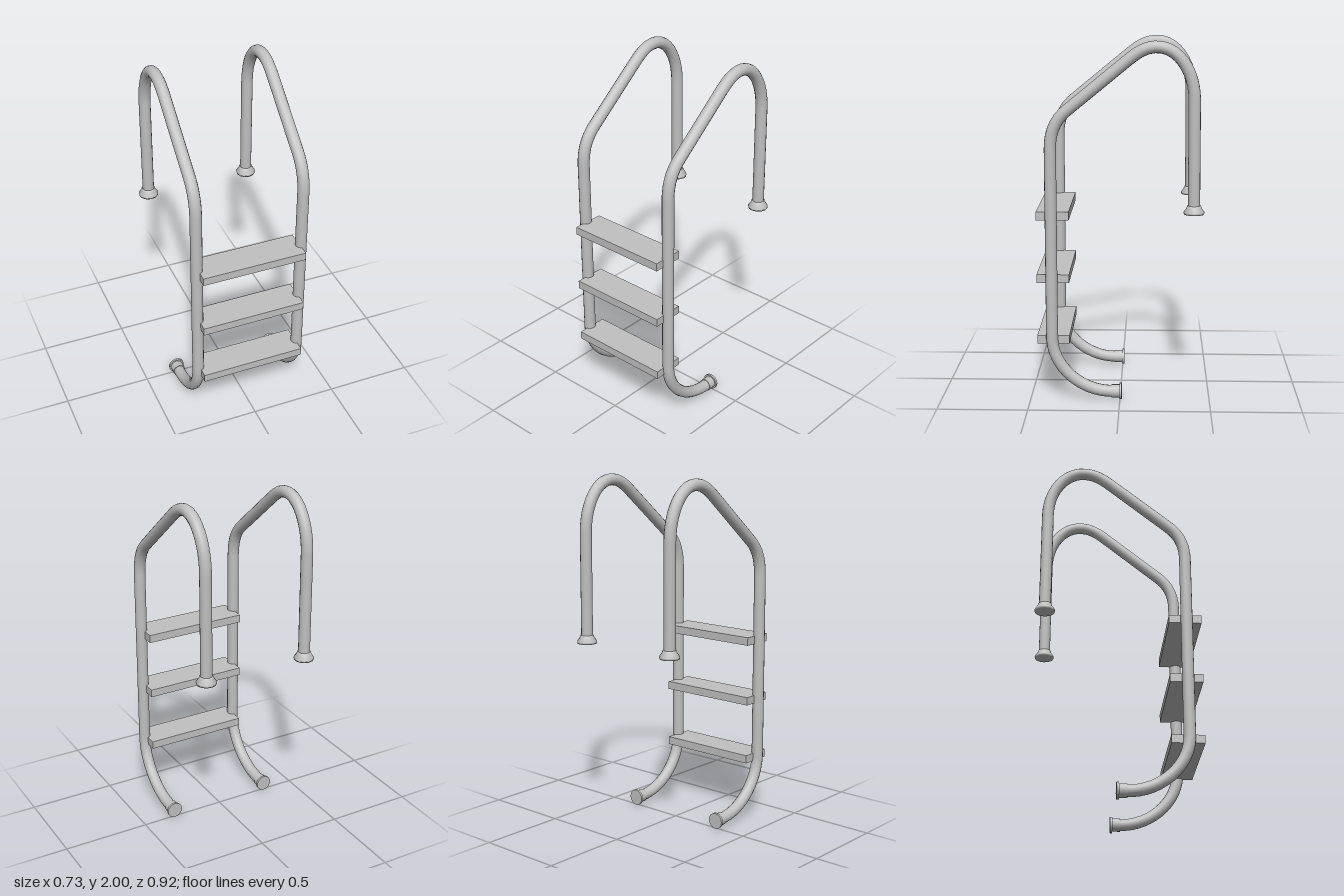
import * as THREE from 'three';

const RAIL_X = 0.308;
const RAIL_R = 0.033;
const p = (z, y) => new THREE.Vector3(0, y, z);

// Rail centreline in the side plane, from the foot up and over to the deck
function railPath() {
  const path = new THREE.CurvePath();
  path.add(new THREE.LineCurve3(p(0, 0.05), p(0.05, 0.05)));
  path.add(new THREE.CubicBezierCurve3(p(0.05, 0.05), p(0.23, 0.052), p(0.378, 0.2), p(0.378, 0.36)));
  path.add(new THREE.LineCurve3(p(0.378, 0.36), p(0.378, 1.42)));
  path.add(new THREE.QuadraticBezierCurve3(p(0.378, 1.42), p(0.378, 1.553), p(0.29, 1.625)));
  path.add(new THREE.LineCurve3(p(0.29, 1.625), p(-0.04, 1.895)));
  path.add(new THREE.CubicBezierCurve3(p(-0.04, 1.895), p(-0.1, 1.944), p(-0.14, 1.967), p(-0.2, 1.967)));
  path.add(new THREE.CubicBezierCurve3(p(-0.2, 1.967), p(-0.31, 1.967), p(-0.4, 1.84), p(-0.4, 1.68)));
  path.add(new THREE.LineCurve3(p(-0.4, 1.68), p(-0.403, 1.08)));
  return path;
}

const lathe = (points, sides) =>
  new THREE.LatheGeometry(points.map(([r, y]) => new THREE.Vector2(r, y)), sides);

export function createModel() {
  const model = new THREE.Group();
  model.name = 'poolLadder';

  const steel = new THREE.MeshStandardMaterial({ color: 0xc0c0c0 });
  steel.name = 'brushedSteel';

  const add = (parent, name, geometry, x = 0, y = 0, z = 0) => {
    const mesh = new THREE.Mesh(geometry, steel);
    mesh.name = name;
    mesh.position.set(x, y, z);
    parent.add(mesh);
    return mesh;
  };

  const railGeometry = new THREE.TubeGeometry(railPath(), 96, RAIL_R, 14);
  // Flared deck collar, closed underneath
  const collarGeometry = lathe(
    [[0, 0], [0.055, 0], [0.057, 0.012], [0.041, 0.035], [0.038, 0.047], [0.03, 0.047]], 12);
  // Wall bumper: sleeve with a wider end disc
  const sleeveGeometry = new THREE.CylinderGeometry(0.037, 0.037, 0.05, 16).rotateX(Math.PI / 2);
  const discGeometry = new THREE.CylinderGeometry(0.046, 0.046, 0.013, 16).rotateX(Math.PI / 2);

  for (const [side, sign] of [['left', 1], ['right', -1]]) {
    const group = new THREE.Group();
    group.name = side + 'Handrail';
    group.position.x = sign * RAIL_X;
    add(group, side + 'Rail', railGeometry);
    add(group, side + 'DeckCollar', collarGeometry, 0, 1.065, -0.403);
    add(group, side + 'BumperSleeve', sleeveGeometry, 0, 0.05, 0.022);
    add(group, side + 'BumperDisc', discGeometry, 0, 0.05, -0.004);
    model.add(group);
  }

  // Treads
  const treadGeometry = new THREE.BoxGeometry(0.602, 0.047, 0.18);
  [0.345, 0.695, 1.048].forEach((y, i) => add(model, 'tread' + (i + 1), treadGeometry, 0, y, 0.371));

  return model;
}
